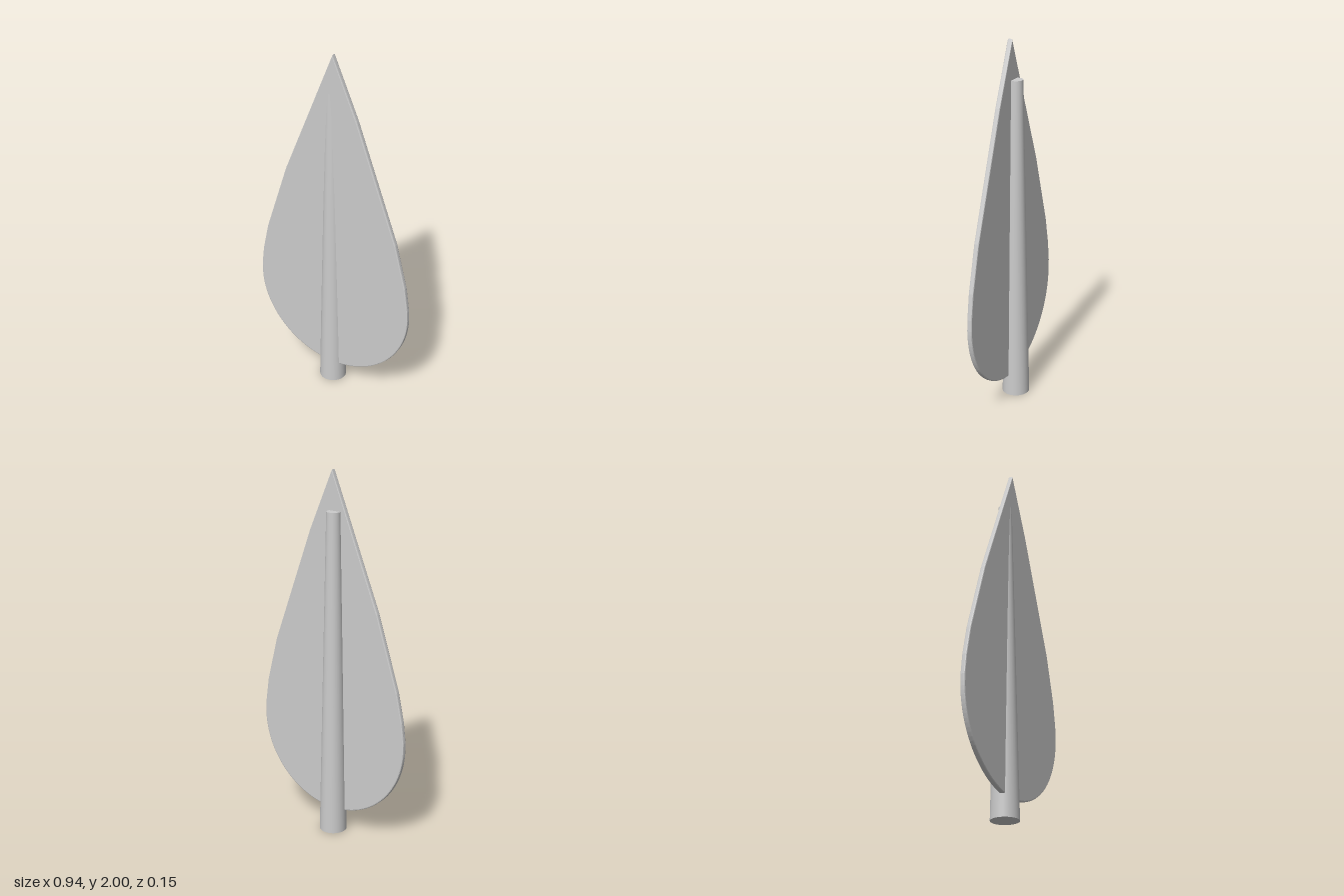
import * as THREE from 'three';

const material = new THREE.MeshStandardMaterial({ color: 0xcccccc });

// Pointed leaf plate: straight upper edges running into a round lower half
function createBlade() {
  const bevel = 0.006;
  const shape = new THREE.Shape();
  shape.moveTo(0, 2);
  for (const [x, y] of [[-0.29, 1.29], [-0.42, 0.89], [-0.455, 0.73], [-0.468, 0.62]]) shape.lineTo(x, y);
  shape.absarc(0, 0.58, 0.468, Math.PI, Math.PI * 2, false);
  for (const [x, y] of [[0.465, 0.64], [0.445, 0.78], [0.38, 1.03], [0.142, 1.675]]) shape.lineTo(x, y);
  shape.closePath();

  const geometry = new THREE.ExtrudeGeometry(shape, {
    depth: 0.015,
    bevelEnabled: true,
    bevelThickness: bevel,
    bevelSize: bevel,
    bevelOffset: -bevel,
    bevelSegments: 2,
    curveSegments: 32,
  });
  geometry.translate(0, 0, 0.01 + bevel);
  const blade = new THREE.Mesh(geometry, material);
  blade.name = 'leafBlade';
  return blade;
}

// Tapered round stem, set slightly off centre and passing through the blade
function createStem() {
  const height = 1.79;
  const stem = new THREE.Mesh(new THREE.CylinderGeometry(0.0375, 0.075, height, 32), material);
  stem.position.set(-0.02, height / 2, 0);
  stem.name = 'stem';
  return stem;
}

export function createModel() {
  const leaf = new THREE.Group();
  leaf.name = 'leaf';
  leaf.add(createBlade(), createStem());
  return leaf;
}
